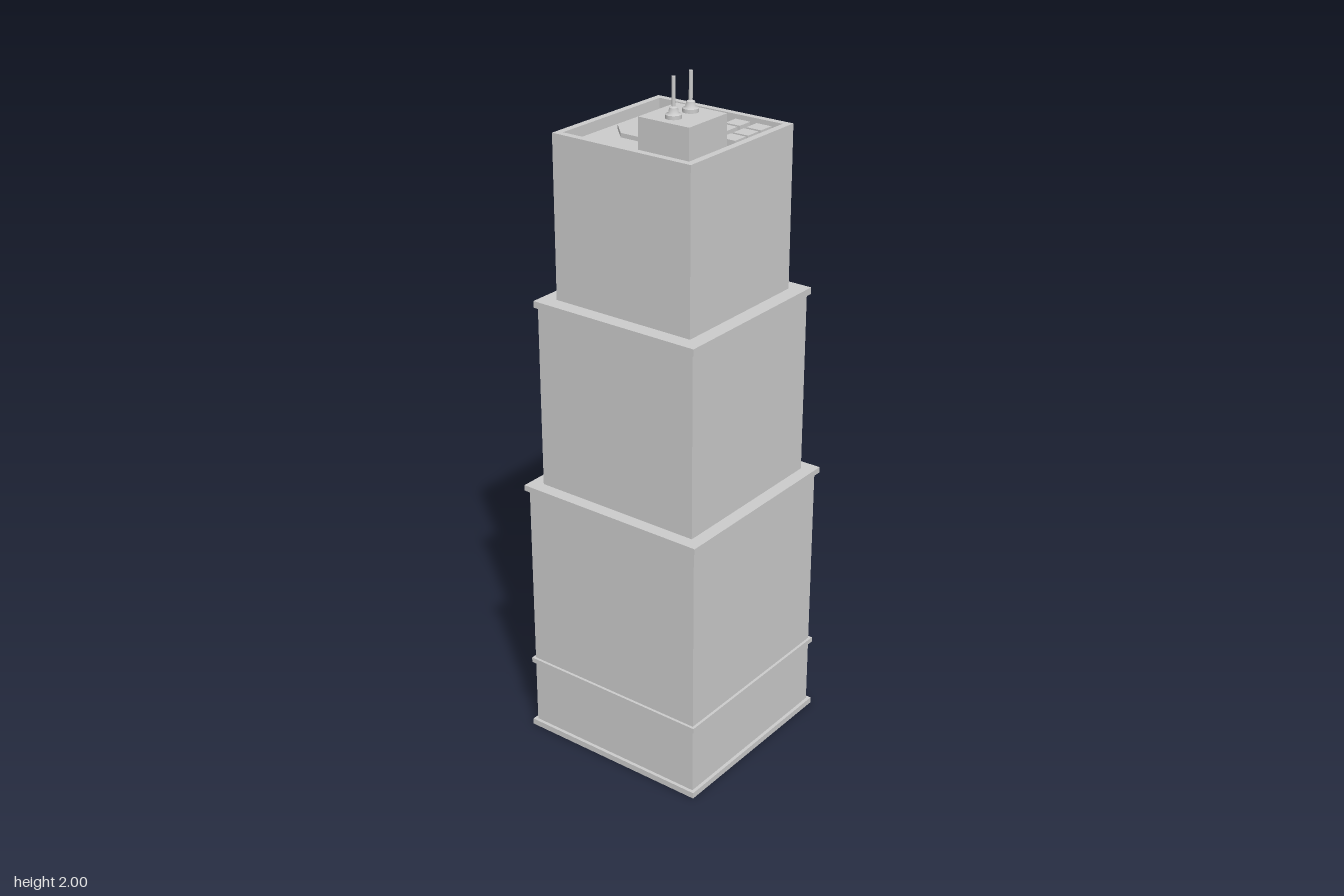
import * as THREE from 'three';

const material = new THREE.MeshStandardMaterial({ color: 0xcccccc });
const CZ = 0.0075; // centre of the tower in z
const ROOF = 1.78; // sunken roof deck inside the parapet

export function createModel() {
  const model = new THREE.Group();

  const add = (name, geometry, x, y, z) => {
    const mesh = new THREE.Mesh(geometry, material);
    mesh.name = name;
    mesh.position.set(x, y, z);
    model.add(mesh);
    return mesh;
  };
  // Box given by its centre in plan and its bottom and top heights
  const block = (name, w, d, y0, y1, x, z) =>
    add(name, new THREE.BoxGeometry(w, y1 - y0, d), x, (y0 + y1) / 2, z);
  const square = (name, half, y0, y1) => block(name, 2 * half, 2 * half, y0, y1, 0, CZ);

  // Stepped tower tiers
  square('lowerTier', 0.286, 0, 0.795);
  square('middleTier', 0.258, 0.795, 1.345);
  square('upperTier', 0.222, 1.345, ROOF);

  // Projecting bands and cornices
  square('baseBand', 0.296, 0, 0.018);
  square('streetBand', 0.294, 0.217, 0.232);
  square('lowerCornice', 0.296, 0.783, 0.8);
  square('middleCornice', 0.266, 1.331, 1.35);

  // Parapet ring round the roof deck
  const rect = (shape, h) =>
    shape.moveTo(-h, -h).lineTo(h, -h).lineTo(h, h).lineTo(-h, h).closePath();
  const ring = rect(new THREE.Shape(), 0.222);
  ring.holes.push(rect(new THREE.Path(), 0.202));
  const parapet = new THREE.ExtrudeGeometry(ring, { depth: 1.81 - ROOF, bevelEnabled: false });
  parapet.rotateX(-Math.PI / 2);
  add('parapet', parapet, 0, ROOF, CZ);

  // Octagonal helipad
  const pad = new THREE.CylinderGeometry(0.103, 0.103, 0.012, 8).toNonIndexed();
  pad.rotateY(Math.PI / 8);
  pad.computeVertexNormals();
  add('helipad', pad, 0.025, ROOF + 0.006, -0.072);

  // Rooftop air units
  for (const x of [0.05, 0.107, 0.165]) {
    for (const z of [0.0925, 0.16]) block('airUnit', 0.047, 0.047, ROOF, ROOF + 0.022, x, z);
  }

  // Penthouse in the corner of the roof
  block('penthouse', 0.157, 0.158, ROOF, 1.895, -0.1235, 0.13);

  // Antennas: stepped foot and thin mast turned as one profile
  const profile = [
    [0.021, 0], [0.021, 0.01], [0.021, 0.01], [0.013, 0.014], [0.011, 0.027],
    [0.011, 0.027], [0.005, 0.03], [0.005, 0.03], [0.005, 0.105], [0.005, 0.105], [0, 0.105],
  ].map(([r, y]) => new THREE.Vector2(r, y));
  for (const x of [-0.158, -0.088]) {
    add('antenna', new THREE.LatheGeometry(profile, 20), x, 1.895, 0.128);
  }

  // Bent pipes from the penthouse side down to the roof
  const bend = new THREE.CurvePath();
  const v = (x, y) => new THREE.Vector3(x, y, 0);
  bend.add(new THREE.QuadraticBezierCurve3(v(-0.047, 1.876), v(-0.022, 1.876), v(-0.022, 1.845)));
  bend.add(new THREE.LineCurve3(v(-0.022, 1.845), v(-0.022, ROOF)));
  for (const z of [0.14, 0.172]) {
    add('pipe', new THREE.TubeGeometry(bend, 24, 0.007, 10), 0, 0, z);
  }

  // Entrance on the back wall: canopy, lintel, posts and door
  block('canopy', 0.24, 0.03, 0.155, 0.175, 0, -0.29);
  block('lintel', 0.2, 0.014, 0.175, 0.195, 0, -0.283);
  for (const side of [-1, 1]) {
    block('entrancePost', 0.028, 0.024, 0, 0.156, side * 0.07, -0.289);
  }
  block('door', 0.115, 0.008, 0, 0.156, 0, -0.28);

  return model;
}
